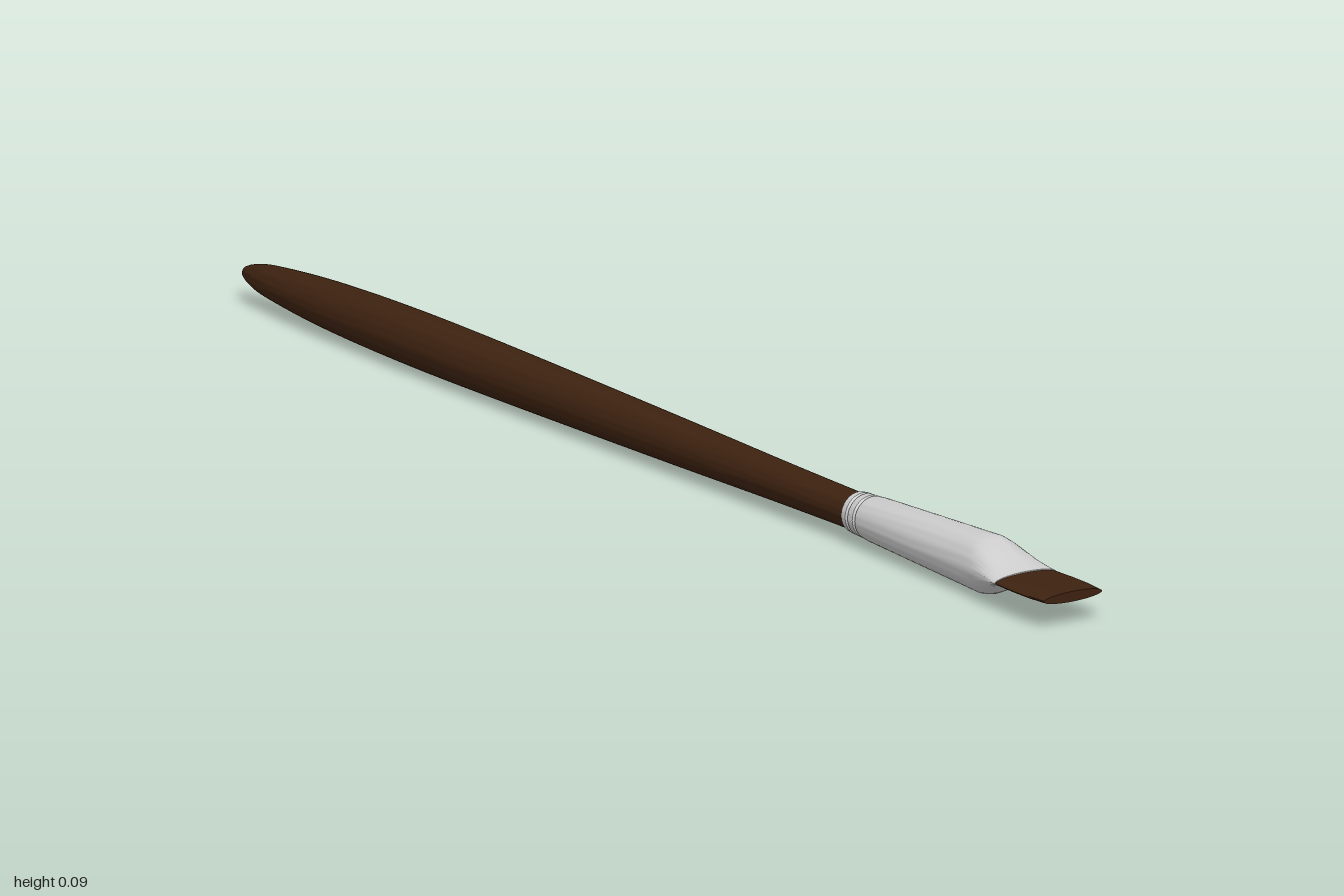
import * as THREE from 'three';
import { toCreasedNormals } from 'three/addons/utils/BufferGeometryUtils.js';

const SIDES = 40;
const AXIS_Y = 0.044;

// Skin elliptical cross-sections [x, half height, half depth] along the x axis
function loft(name, sections, color, crease = 0.5) {
  const positions = [];
  const index = [];
  for (const [x, ry, rz] of sections) {
    for (let j = 0; j < SIDES; j++) {
      const a = (j / SIDES) * Math.PI * 2;
      positions.push(x, AXIS_Y + ry * Math.cos(a), rz * Math.sin(a));
    }
  }
  for (let i = 0; i < sections.length - 1; i++) {
    for (let j = 0; j < SIDES; j++) {
      const k = (j + 1) % SIDES;
      const a = i * SIDES + j, b = i * SIDES + k;
      const c = a + SIDES, d = b + SIDES;
      if (sections[i][1] > 0) index.push(a, b, c);
      if (sections[i + 1][1] > 0) index.push(b, d, c);
    }
  }
  const geometry = new THREE.BufferGeometry();
  geometry.setAttribute('position', new THREE.Float32BufferAttribute(positions, 3));
  geometry.setIndex(index);
  const mesh = new THREE.Mesh(
    toCreasedNormals(geometry, crease),
    new THREE.MeshStandardMaterial({ color })
  );
  mesh.name = name;
  return mesh;
}

const round = ([x, r]) => [x, r, r];

export function createModel() {
  const group = new THREE.Group();
  group.name = 'paintbrush';

  // Wooden handle: blunt tip, wide belly, slim neck
  const profile = new THREE.SplineCurve([
    [-0.995, 0.009], [-0.975, 0.016], [-0.93, 0.024], [-0.8, 0.034], [-0.62, 0.039],
    [-0.4, 0.039], [0, 0.034], [0.3, 0.029], [0.49, 0.027],
  ].map(([x, r]) => new THREE.Vector2(x, r)));
  const handle = profile.getPoints(40).map((p) => round([p.x, p.y]));
  group.add(loft('handle', [[-1, 0, 0], [-1, 0.005, 0.005], ...handle, [0.49, 0, 0]], 0x3d2210, 0.8));

  // Metal ferrule: two crimped grooves, then flared and pinched flat at the mouth
  const sleeve = [
    [0.482, 0], [0.482, 0.03], [0.493, 0.031], [0.496, 0.0285], [0.499, 0.031],
    [0.511, 0.0315], [0.514, 0.029], [0.517, 0.0315], [0.53, 0.033], [0.66, 0.038],
  ].map(round);
  const mouth = [
    [0.78, 0.0425, 0.0425], [0.8, 0.043, 0.044], [0.815, 0.04, 0.0455],
    [0.85, 0.024, 0.05], [0.875, 0.012, 0.0525], [0.885, 0.009, 0.053], [0.885, 0, 0],
  ];
  group.add(loft('ferrule', [...sleeve, ...mouth], 0xcccccc));

  // Flat bristle tuft with a straight-cut end
  group.add(loft('bristles', [
    [0.87, 0, 0], [0.87, 0.007, 0.05], [0.89, 0.0075, 0.0525], [0.93, 0.008, 0.054],
    [0.965, 0.008, 0.0535], [1, 0.0075, 0.05], [1, 0, 0],
  ], 0x3d2210));

  return group;
}
